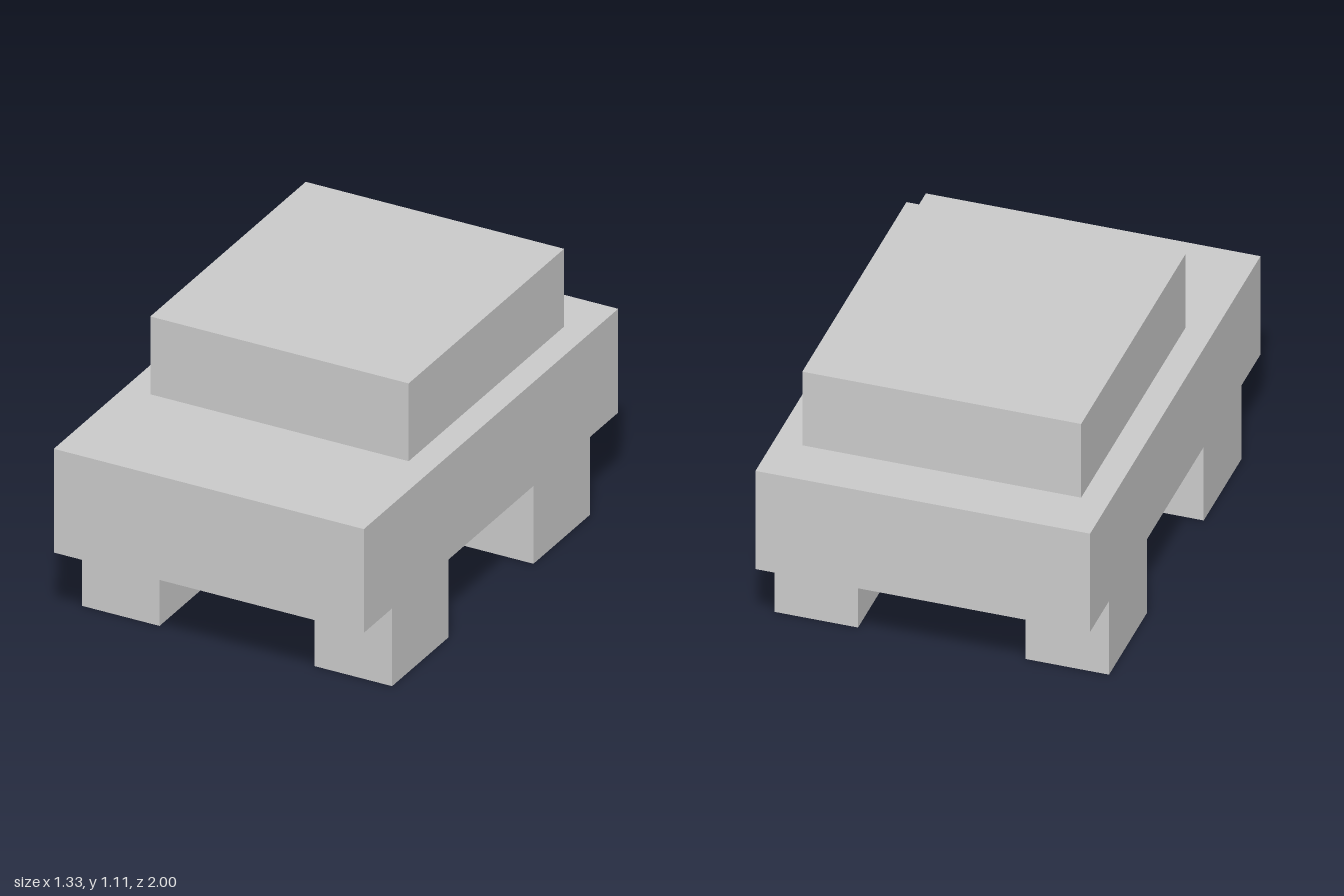
import * as THREE from 'three';

const U = 1 / 9; // block grid unit

export function createModel() {
  const group = new THREE.Group();
  group.name = 'blockCar';
  const material = new THREE.MeshStandardMaterial({ color: 0xcccccc, flatShading: true });

  // Box given by its minimum and maximum corners in grid units
  const addBox = (name, min, max) => {
    const size = max.map((v, i) => (v - min[i]) * U);
    const centre = max.map((v, i) => (v + min[i]) * U / 2);
    const mesh = new THREE.Mesh(new THREE.BoxGeometry(...size), material);
    mesh.name = name;
    mesh.position.set(...centre);
    group.add(mesh);
  };

  // Body slab and the cabin set towards the back
  addBox('body', [-6, 3, -9], [6, 7, 9]);
  addBox('cabin', [-5, 7, -7], [5, 10, 4]);

  // Four square wheels, flush with the body sides
  for (const [side, x] of [['Left', 3], ['Right', -6]]) {
    for (const [end, z] of [['front', 3], ['back', -7]]) {
      addBox(`${end}${side}Wheel`, [x, 0, z], [x + 3, 3, z + 4]);
    }
  }
  return group;
}
